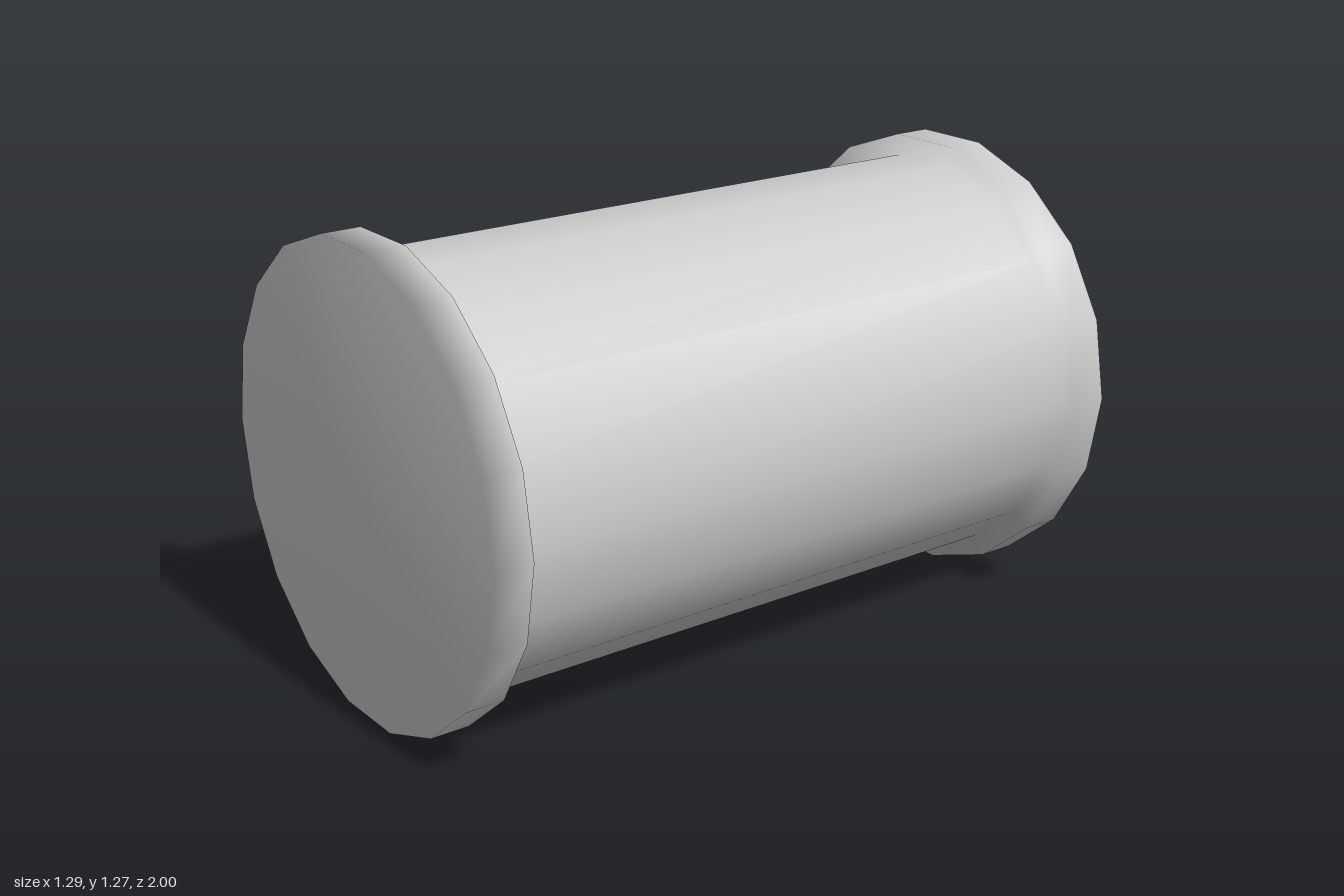
import * as THREE from 'three';

export function createModel() {
  const group = new THREE.Group();
  group.name = 'flangedDrum';

  const sides = 18;
  const flangeR = 0.645, tubeR = 0.584, endZ = 1, flangeZ = 0.89;

  // Profile from the open back rim to the centre of the closed front cap
  const profile = [
    [flangeR, -endZ], [flangeR, -flangeZ], [tubeR, -flangeZ],
    [tubeR, flangeZ], [flangeR, flangeZ], [flangeR, endZ], [0, endZ],
  ].map(([r, z]) => new THREE.Vector2(r, z));

  // Hollow shell with shared smooth normals, a corner on the x axis, laid along z
  const geometry = new THREE.LatheGeometry(profile, sides, Math.PI / 2);
  geometry.rotateX(Math.PI / 2);

  const material = new THREE.MeshStandardMaterial({ color: 0xcccccc, side: THREE.DoubleSide });
  const shell = new THREE.Mesh(geometry, material);
  shell.name = 'drumShell';
  shell.position.y = flangeR * Math.cos(Math.PI / sides); // rests on its flat sides
  group.add(shell);

  return group;
}
